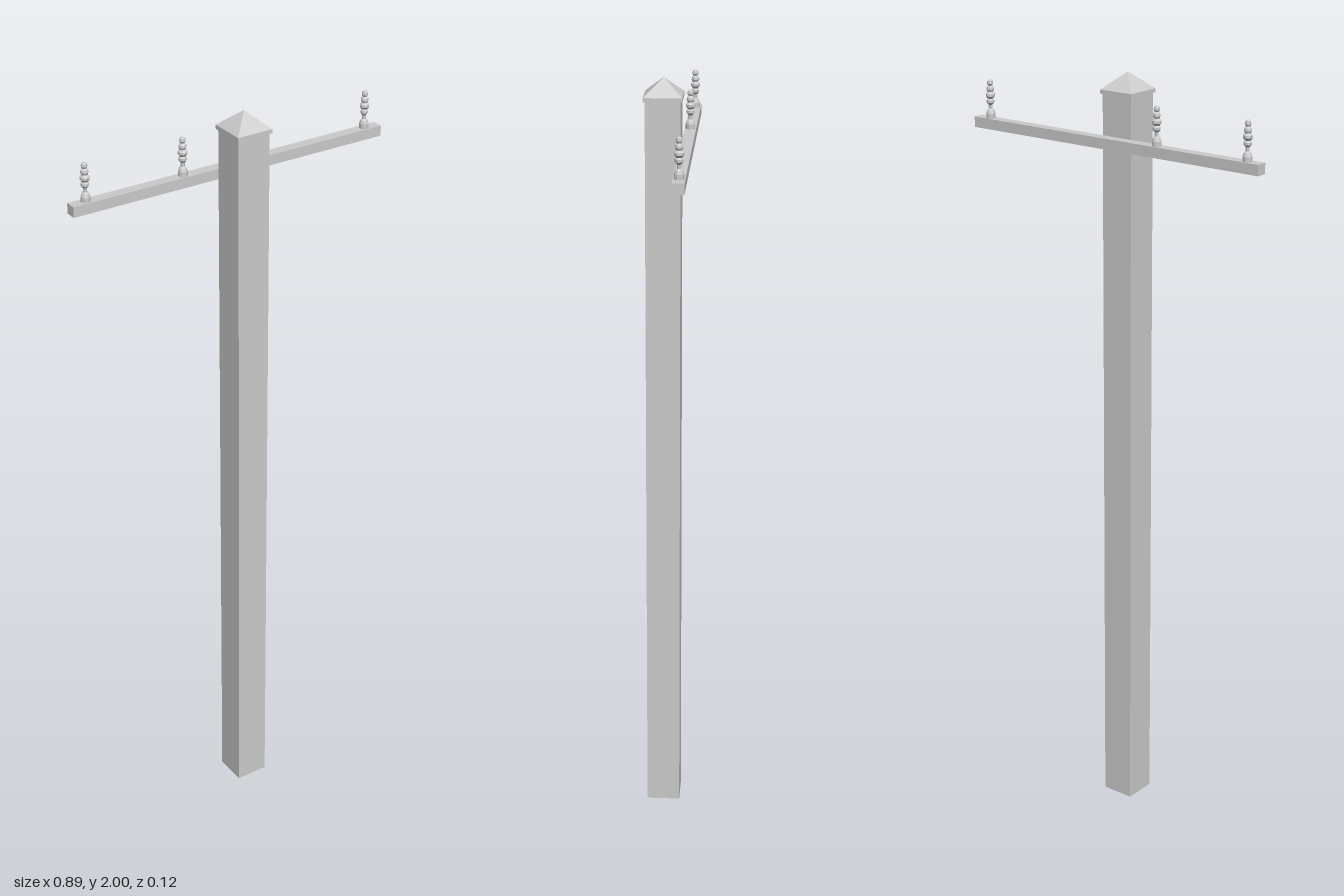
import * as THREE from 'three';

const material = new THREE.MeshStandardMaterial({ color: 0xcccccc, flatShading: true });

function addMesh(parent, name, geometry, x, y, z) {
  const mesh = new THREE.Mesh(geometry, material);
  mesh.name = name;
  mesh.position.set(x, y, z);
  parent.add(mesh);
  return mesh;
}

export function createModel() {
  const group = new THREE.Group();
  group.name = 'utilityPole';
  const poleZ = 0.0115, armZ = -0.048, armTop = 1.844;

  // Square post
  addMesh(group, 'post', new THREE.BoxGeometry(0.088, 1.95, 0.088), 0, 0.975, poleZ);

  // Overhanging cap: thin band with a pyramid roof
  const capHalf = 0.0485;
  addMesh(group, 'capBand', new THREE.BoxGeometry(capHalf * 2, 0.01, capHalf * 2), 0, 1.952, poleZ);
  const roof = new THREE.ConeGeometry(capHalf * Math.SQRT2, 0.043, 4, 1, true).rotateY(Math.PI / 4);
  addMesh(group, 'capRoof', roof, 0, 1.9785, poleZ);

  // Crossarm against the back of the post
  addMesh(group, 'crossarm', new THREE.BoxGeometry(0.886, 0.027, 0.029), 0, armTop - 0.0135, armZ);

  // Insulators: flared foot, thin neck, ribbed body and small top
  const profile = [
    [0, 0], [0.012, 0], [0.012, 0.012], [0.009, 0.02], [0.005, 0.024], [0.005, 0.034],
    [0.010, 0.040], [0.010, 0.046], [0.007, 0.050], [0.012, 0.056], [0.012, 0.062],
    [0.007, 0.067], [0.010, 0.073], [0.009, 0.079], [0.005, 0.083], [0.008, 0.088],
    [0.007, 0.095], [0.004, 0.098], [0, 0.098],
  ].map(([r, y]) => new THREE.Vector2(r, y));
  const insulator = new THREE.LatheGeometry(profile, 10);
  for (const x of [-0.402, -0.135, 0.4]) addMesh(group, 'insulator', insulator, x, armTop, armZ);

  return group;
}
